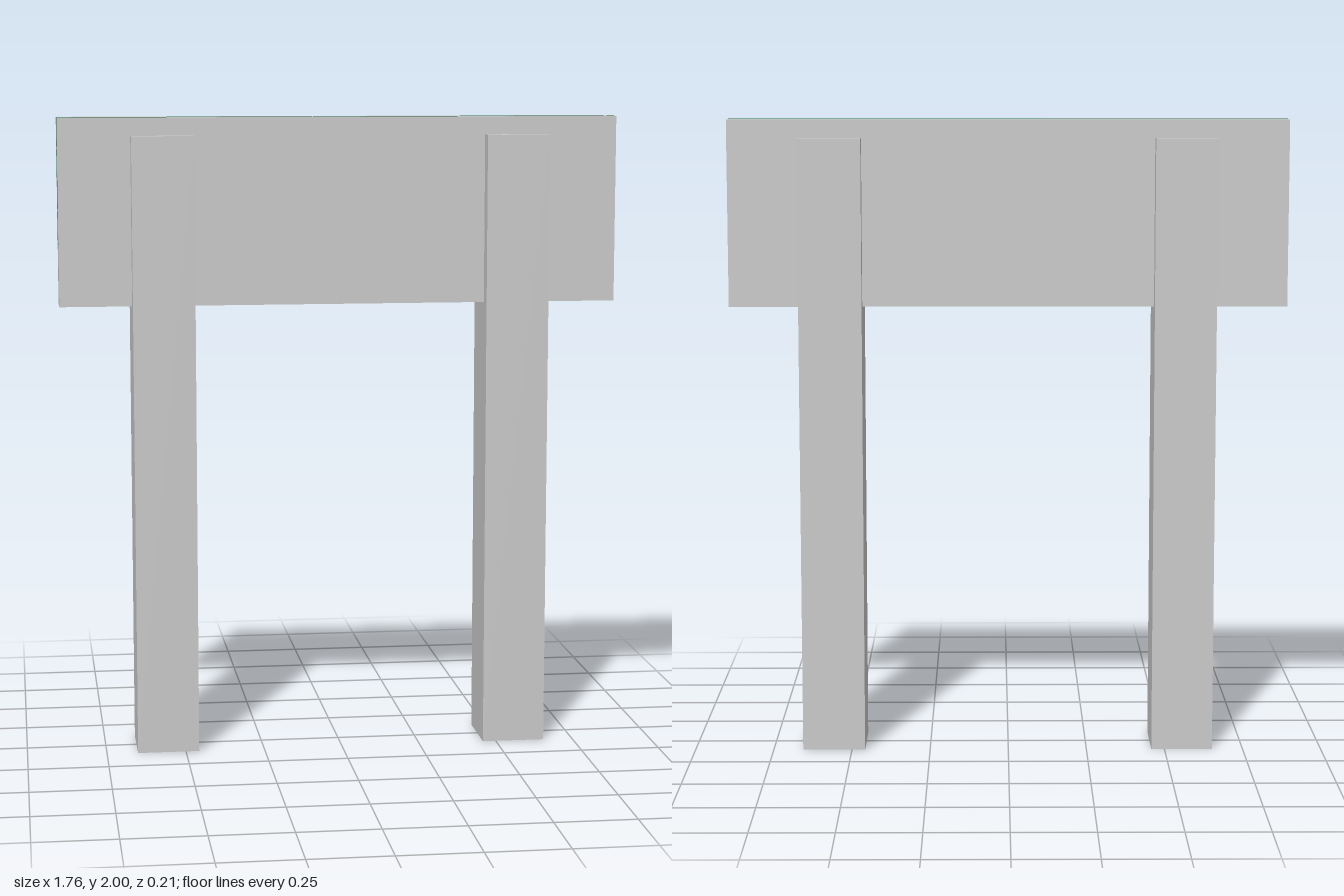
import * as THREE from 'three';

export function createModel() {
  const model = new THREE.Group();
  const grey = new THREE.MeshStandardMaterial({ color: 0xc9c9c9 });
  grey.name = 'light grey';
  const green = new THREE.MeshStandardMaterial({ color: 0x20693f });
  green.name = 'dark green';

  // Box given by its minimum and maximum corners
  function box(name, min, max, material) {
    const size = max.map((v, i) => v - min[i]);
    const mesh = new THREE.Mesh(new THREE.BoxGeometry(...size), material);
    mesh.position.set(...max.map((v, i) => (v + min[i]) / 2));
    mesh.name = name;
    model.add(mesh);
  }

  // Horizontal sign board
  box('board', [-0.877, 1.417, -0.057], [0.877, 2, 0.057], grey);

  // Thin panel set into the board, showing at its top and ends
  box('insetPanel', [-0.878, 1.61, 0.018], [0.878, 2.001, 0.038], green);

  // Two posts that clasp the board front and back
  box('rightPost', [-0.652, 0, -0.105], [-0.458, 1.944, 0.105], grey);
  box('leftPost', [0.458, 0, -0.105], [0.656, 1.944, 0.105], grey);

  return model;
}
